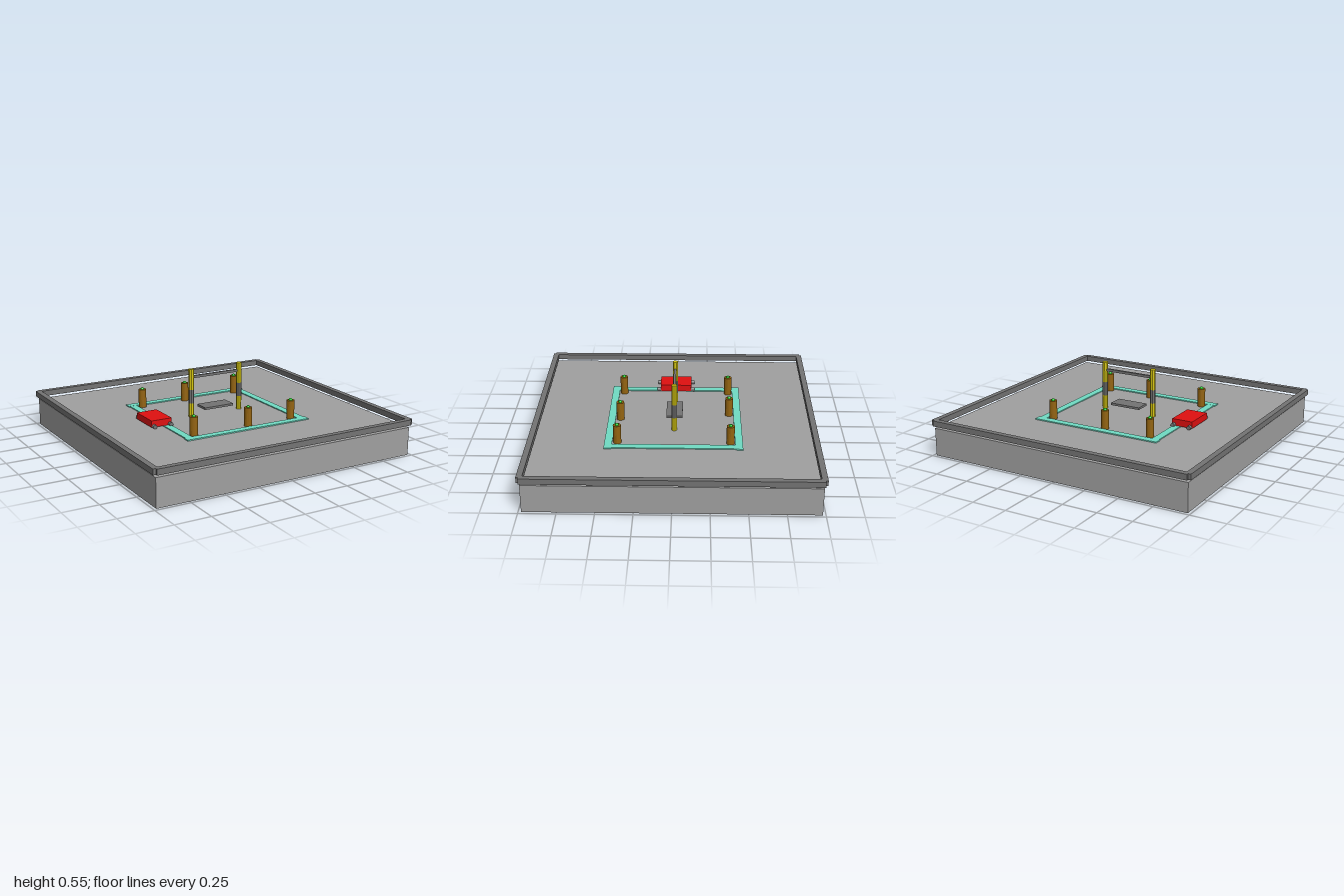
import * as THREE from 'three';

const mat = (color) => new THREE.MeshStandardMaterial({ color, flatShading: true });
const base = mat(0xa0a0a0), grey = mat(0x747474), teal = mat(0x70dcc4);
const red = mat(0xe01010), yellow = mat(0xd8c810), brown = mat(0x946410), green = mat(0x10c020);

export function createModel() {
  const model = new THREE.Group();

  const add = (parent, name, geometry, material, x, y, z) => {
    const mesh = new THREE.Mesh(geometry, material);
    mesh.name = name;
    mesh.position.set(x, y, z);
    parent.add(mesh);
    return mesh;
  };
  // box given by its lower and upper corners
  const box = (parent, name, material, [x0, y0, z0], [x1, y1, z1]) =>
    add(parent, name, new THREE.BoxGeometry(x1 - x0, y1 - y0, z1 - z0), material,
      (x0 + x1) / 2, (y0 + y1) / 2, (z0 + z1) / 2);
  const group = (name) => {
    const g = new THREE.Group();
    g.name = name;
    model.add(g);
    return g;
  };

  // ground slab
  box(model, 'groundSlab', base, [-0.98, 0, -0.98], [0.98, 0.2, 0.98]);

  // raised rim rails and inlaid track strips, one per side
  const rim = group('rim');
  const track = group('track');
  for (const s of [-1, 1]) {
    add(rim, 'sideRail', new THREE.BoxGeometry(0.04, 0.04, 1.97), grey, s * 0.98, 0.24, 0);
    add(rim, 'endRail', new THREE.BoxGeometry(1.96, 0.04, 0.04), grey, 0, 0.24, s * 0.98);
    add(track, 'sideStrip', new THREE.BoxGeometry(0.053, 0.007, 0.86), teal, s * 0.453, 0.2035, 0);
    add(track, 'endStrip', new THREE.BoxGeometry(0.975, 0.008, 0.053), teal, 0, 0.204, s * 0.452);
  }

  // bollards with a green lamp on top
  const spots = [[-0.393, -0.393], [-0.04, -0.393], [0.39, -0.393],
    [-0.393, 0.39], [0.037, 0.39], [0.39, 0.39]];
  for (const [x, z] of spots) {
    const bollard = group('bollard');
    bollard.position.set(x, 0.2, z);
    add(bollard, 'bollardPost', new THREE.CylinderGeometry(0.028, 0.028, 0.135, 16), brown, 0, 0.0675, 0);
    add(bollard, 'bollardLamp', new THREE.SphereGeometry(0.014, 12, 8), green, 0, 0.135, 0);
  }

  // gate: two banded posts and a crossbar
  const gate = group('gate');
  const bands = [[0.2, 0.3, yellow], [0.3, 0.4, grey], [0.4, 0.55, yellow]];
  for (const x of [-0.198, 0.197]) {
    for (const [y0, y1, material] of bands) {
      const geometry = new THREE.CylinderGeometry(0.02, 0.02, y1 - y0, 8);
      geometry.rotateY(Math.PI / 8);
      add(gate, 'gatePost', geometry, material, x, (y0 + y1) / 2, 0);
    }
  }
  box(gate, 'crossbar', grey, [-0.195, 0.483, -0.009], [0.195, 0.501, 0.009]);

  // hovering plate under the gate
  box(model, 'plate', grey, [-0.117, 0.25, -0.058], [0.115, 0.266, 0.058]);

  // small red cart with four wheels
  const cart = group('cart');
  box(cart, 'cartBody', red, [-0.572, 0.207, -0.117], [-0.417, 0.255, 0.115]);
  for (const x of [-0.556, -0.431]) {
    for (const z of [-0.128, 0.126]) {
      const wheel = new THREE.CylinderGeometry(0.015, 0.015, 0.026, 12);
      wheel.rotateX(Math.PI / 2);
      add(cart, 'wheel', wheel, grey, x, 0.215, z);
    }
  }
  return model;
}
